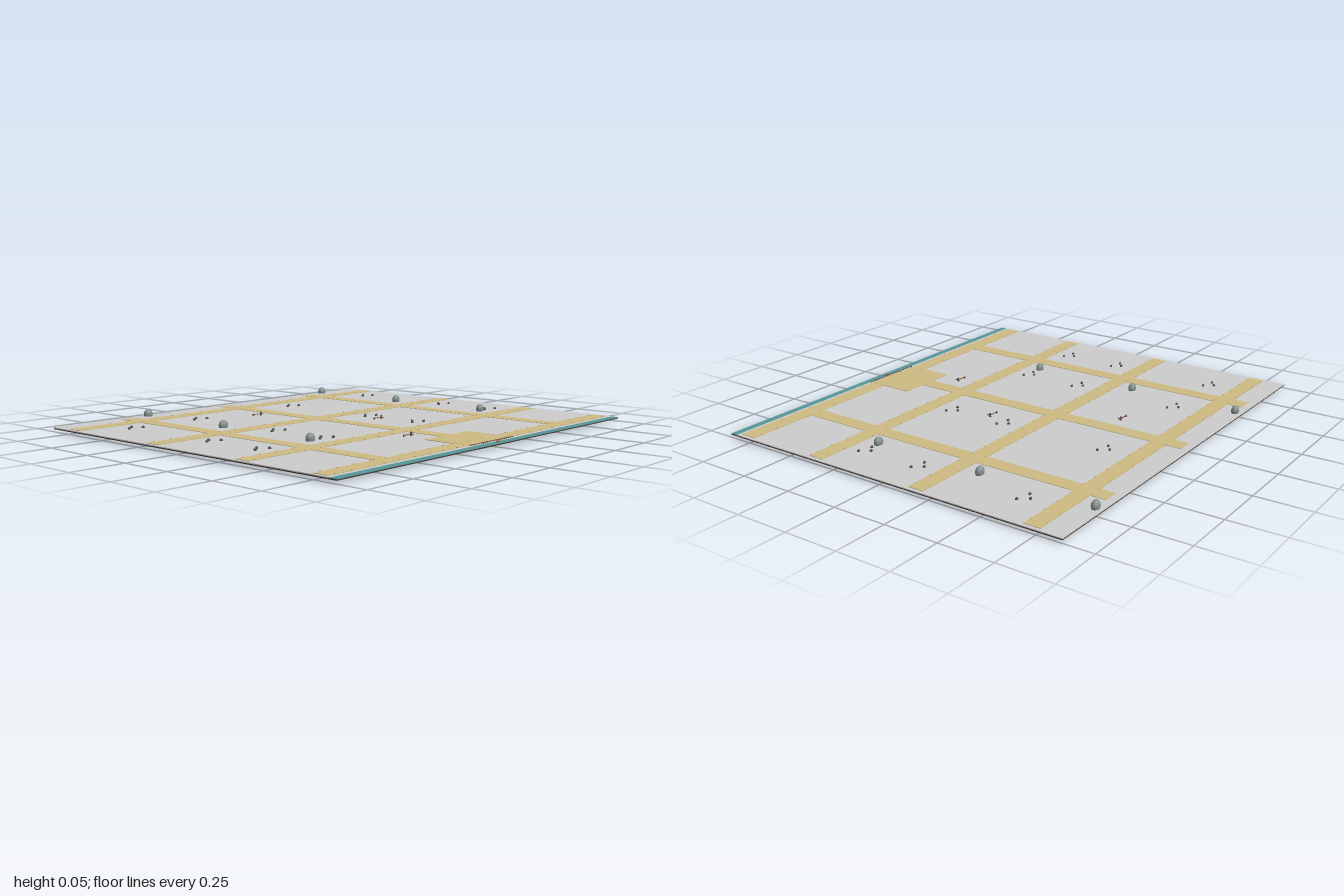
import * as THREE from 'three';

const mat = (color, flat = false) => new THREE.MeshStandardMaterial({ color, flatShading: flat });
const M = {
  grey: mat(0xcccccc), earth: mat(0x4a362c), path: mat(0xccba82), water: mat(0x559497),
  stone: mat(0x54595a, true), bush: mat(0x84918f, true), wood: mat(0x7a5440), dark: mat(0x3a3a3a), pale: mat(0xcccccc),
};
const GROUND = 0.02;
const X = 1, Z = 0.863;

export function createModel() {
  const root = new THREE.Group();

  const add = (name, geo, material, x, y, z, parent = root) => {
    const m = new THREE.Mesh(geo, material);
    m.name = name;
    m.position.set(x, y, z);
    parent.add(m);
    return m;
  };
  // Box given by its ranges on the three axes
  const slab = (name, material, x0, x1, y0, y1, z0, z1) =>
    add(name, new THREE.BoxGeometry(x1 - x0, y1 - y0, z1 - z0), material,
      (x0 + x1) / 2, (y0 + y1) / 2, (z0 + z1) / 2);

  // Base plate, ground and the water channel along the front
  slab('earthBase', M.earth, -X, X, 0.012, 0.016, -Z, Z);
  slab('ground', M.grey, -X, X, 0.016, GROUND, -Z, 0.828);
  slab('water', M.water, -X, X, 0.016, 0.019, 0.828, Z);
  slab('plazaFoundation', M.earth, -0.155, 0.155, 0.0105, 0.012, 0.6, 0.86);

  // Paths: four rows across, three lanes running back to front
  const rows = [-0.72, -0.173, 0.366, 0.773];
  const half = 0.0375;
  rows.forEach(z => slab('crossPath', M.path, -0.985, 0.983, GROUND, 0.022, z - half, z + half));
  [[-0.613, 0.74], [-0.003, 0.59], [0.608, 0.74]].forEach(([x, end]) =>
    slab('lanePath', M.path, x - half, x + half, GROUND, 0.0217, -0.827, end));
  slab('plaza', M.path, -0.155, 0.15, GROUND, 0.0223, 0.588, 0.811);

  // Tiny marker stones along the path edges
  const pebble = new THREE.BoxGeometry(0.005, 0.004, 0.005);
  rows.forEach(z => {
    for (let i = 0; i < 22; i++) {
      const x = -0.95 + i * 0.09;
      for (const s of [-1, 1]) add('edgeStone', pebble, M.path, x, 0.0225, z + s * (half - 0.003));
    }
  });

  // Rounded shrubs on thin pale stems
  const shrubGeo = new THREE.SphereGeometry(0.024, 12, 8);
  const stemGeo = new THREE.CylinderGeometry(0.004, 0.004, 0.03, 6);
  for (const x of [-0.494, 0.726]) {
    for (const z of [-0.832, -0.291, 0.25]) {
      const g = new THREE.Group();
      g.name = 'shrub';
      g.position.set(x, 0, z);
      add('crown', shrubGeo, M.bush, 0, 0.031, 0, g).scale.z = 0.72;
      add('stem', stemGeo, M.pale, 0, 0.015, 0, g);
      root.add(g);
    }
  }

  // Groups of three small stones in each field
  const rockGeo = new THREE.DodecahedronGeometry(0.008);
  for (const x of [-0.807, -0.433, 0.187, 0.77]) {
    for (const z of [-0.564, -0.04, 0.249]) {
      [[0, 0], [0.032, -0.026], [0.064, 0.016]].forEach(([dx, dz]) =>
        add('fieldStone', rockGeo, M.stone, x + dx, 0.023, z + dz).scale.z = 0.8);
    }
  }

  // Small figures, each pulling a pole to the side
  const bodyGeo = new THREE.CylinderGeometry(0.004, 0.006, 0.012, 6);
  const headGeo = new THREE.SphereGeometry(0.004, 8, 6);
  const figure = (x, z) => {
    const g = new THREE.Group();
    g.name = 'figure';
    g.position.set(x, GROUND, z);
    add('body', bodyGeo, M.wood, 0, 0.006, 0, g);
    add('head', headGeo, M.dark, 0, 0.015, 0, g);
    add('arm', new THREE.BoxGeometry(0.004, 0.003, 0.016), M.dark, 0.001, 0.008, 0.006, g);
    return g;
  };
  [[-0.11, -0.451], [0.193, 0.056], [-0.11, 0.479]].forEach(([x, z]) => {
    const g = figure(x, z);
    add('pole', new THREE.BoxGeometry(0.05, 0.003, 0.004), M.wood, -0.028, 0.008, 0, g);
    add('poleEnd', new THREE.BoxGeometry(0.004, 0.01, 0.006), M.wood, -0.05, 0.006, 0, g);
    root.add(g);
  });

  // Low railing between plaza and water, with a small boat
  for (let i = 0; i <= 20; i++)
    add('railPost', new THREE.BoxGeometry(0.004, 0.006, 0.004), M.wood, -0.15 + i * 0.015, 0.022, 0.82);
  slab('rail', M.wood, -0.15, 0.15, 0.0235, 0.025, 0.819, 0.821);
  const boat = add('boat', new THREE.SphereGeometry(0.01, 10, 6), M.wood, 0.02, 0.02, 0.836);
  boat.scale.set(1.6, 0.4, 0.6);

  return root;
}
